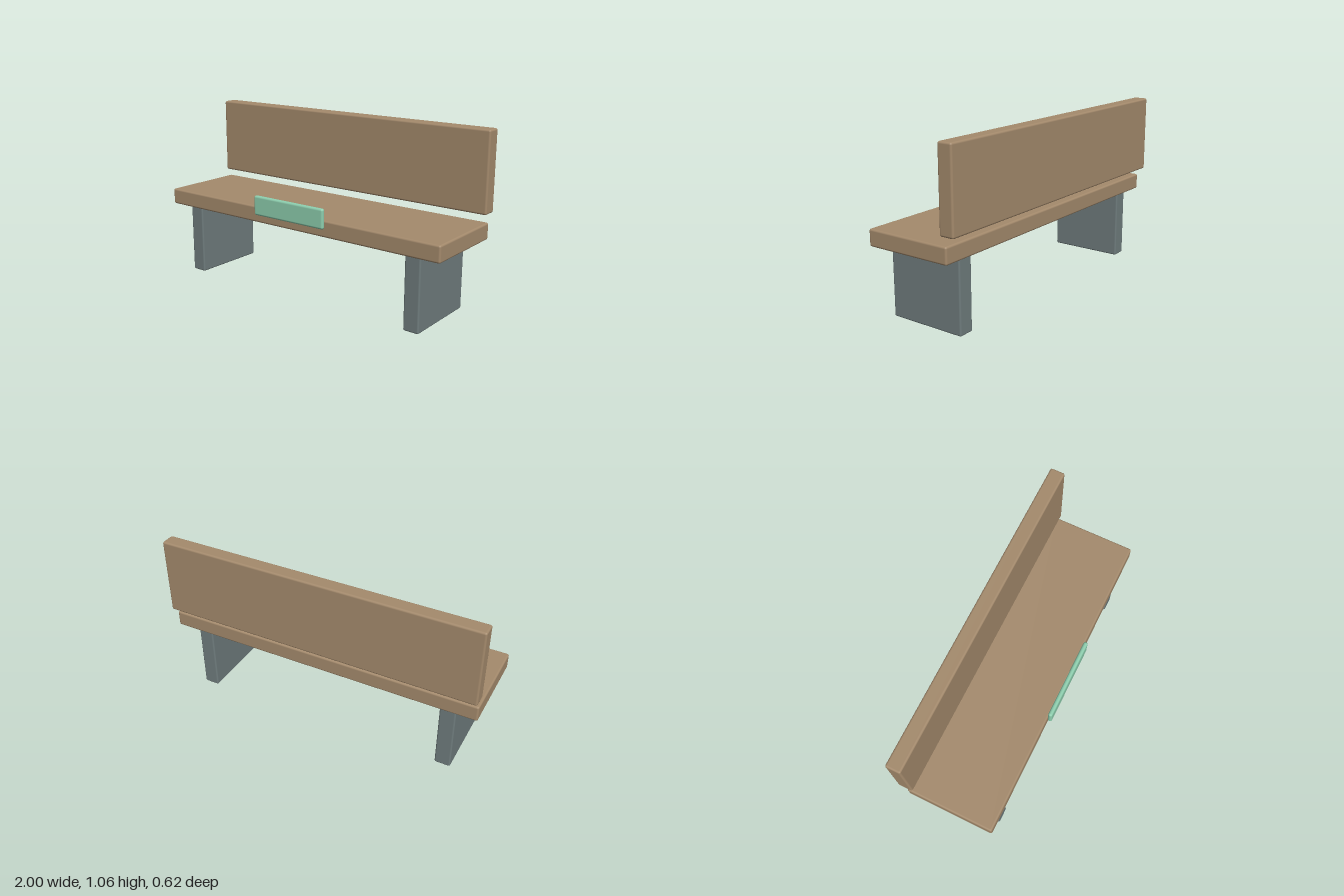
import * as THREE from 'three';
import { RoundedBoxGeometry } from 'three/addons/geometries/RoundedBoxGeometry.js';

const material = (name, color) => {
  const m = new THREE.MeshStandardMaterial({ color });
  m.name = name;
  return m;
};

// Softly bevelled slab given by its lower and upper corners
function slab(name, mat, [x0, y0, z0], [x1, y1, z1], bevel) {
  const geometry = new RoundedBoxGeometry(x1 - x0, y1 - y0, z1 - z0, 2, bevel);
  const mesh = new THREE.Mesh(geometry, mat);
  mesh.position.set((x0 + x1) / 2, (y0 + y1) / 2, (z0 + z1) / 2);
  mesh.name = name;
  return mesh;
}

export function createModel() {
  const wood = material('wood', 0xa48a6c);
  const slate = material('slate', 0x6f7c7d);
  const mint = material('mint', 0x8dceae);

  const bench = new THREE.Group();
  bench.name = 'bench';

  // Seat plank and the separate backrest plank above its rear edge
  bench.add(slab('seat', wood, [-1, 0.437, -0.26], [1, 0.537, 0.284], 0.012));
  bench.add(slab('backrest', wood, [-1, 0.584, -0.309], [1, 1.064, -0.217], 0.012));

  // Slab legs, mirrored left and right
  for (const [side, name] of [[1, 'leftLeg'], [-1, 'rightLeg']]) {
    const leg = slab(name, slate, [-0.049, 0, -0.23], [0.049, 0.45, 0.252], 0.01);
    leg.position.x = side * 0.819;
    bench.add(leg);
  }

  // Plaque on the front edge of the seat, with fully rounded rims
  bench.add(slab('plaque', mint, [-0.26, 0.488, 0.282], [0.26, 0.61, 0.309], 0.0134));

  return bench;
}
